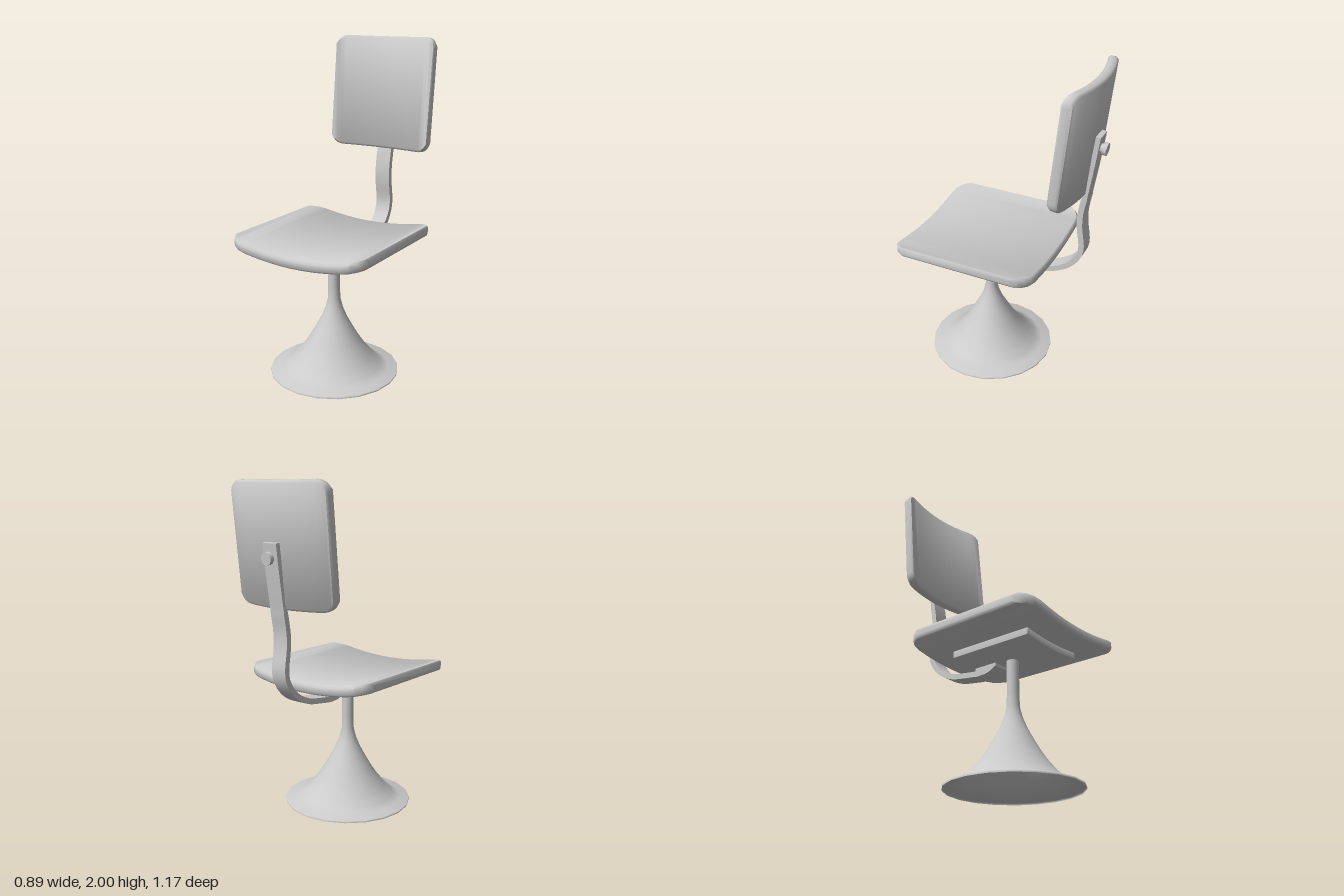
import * as THREE from 'three';
import { toCreasedNormals } from 'three/addons/utils/BufferGeometryUtils.js';

const material = new THREE.MeshStandardMaterial({ color: 0xcccccc, side: THREE.DoubleSide });

function addMesh(group, name, geometry) {
  const mesh = new THREE.Mesh(geometry, material);
  mesh.name = name;
  group.add(mesh);
  return mesh;
}

// Rounded rectangular board in XZ, thick in Y, with its x ends bent upward by sag
function bentBoard(halfW, halfL, thick, radius, bevel, sag) {
  const steps = 4, columns = [];
  for (let i = 0; i <= steps; i++) {
    const a = (Math.PI / 2) * (1 - i / steps);
    columns.push([-(halfW - radius + radius * Math.sin(a)), halfL - radius + radius * Math.cos(a), i === 0]);
  }
  const inner = halfW - radius;
  for (let i = 1; i < 12; i++) columns.push([-inner + (2 * inner * i) / 12, halfL, false]);
  for (let i = steps; i >= 0; i--) columns.push([-columns[i][0], columns[i][1], i === 0]);

  const positions = [], indices = [], n = 8;
  for (const [x, l, end] of columns) {
    const t = thick / 2 - (end ? bevel : 0), b = end ? bevel / 3 : bevel;
    const lift = sag * (x / halfW) ** 2;
    const ring = [[l, -t + b], [l, t - b], [l - b, t], [-l + b, t],
      [-l, t - b], [-l, -t + b], [-l + b, -t], [l - b, -t]];
    for (const [z, y] of ring) positions.push(x, y + lift, z);
  }
  for (let c = 0; c < columns.length - 1; c++) {
    for (let k = 0; k < n; k++) {
      const a = c * n + k, b = c * n + ((k + 1) % n);
      indices.push(a, a + n, b, b, a + n, b + n);
    }
  }
  const last = (columns.length - 1) * n;
  for (let k = 1; k < n - 1; k++) {
    indices.push(0, k, k + 1, last, last + k + 1, last + k);
  }
  const geometry = new THREE.BufferGeometry();
  geometry.setAttribute('position', new THREE.Float32BufferAttribute(positions, 3));
  geometry.setIndex(indices);
  return toCreasedNormals(geometry, 0.9);
}

// Side profile given as (z, y) points, extruded across x
function sideExtrude(points, width) {
  const geometry = new THREE.ExtrudeGeometry(new THREE.Shape(points), { depth: width, bevelEnabled: false });
  geometry.rotateY(-Math.PI / 2).translate(width / 2, 0, 0);
  return toCreasedNormals(geometry, 0.6);
}

const toVectors = (list) => list.map(([x, y]) => new THREE.Vector2(x, y));

export function createModel() {
  const model = new THREE.Group();
  model.name = 'chair';

  // Hollow trumpet pedestal with a thin rim
  const profile = toVectors([[0.395, 0], [0.395, 0.012], [0.335, 0.02], [0.29, 0.045], [0.24, 0.095],
    [0.195, 0.15], [0.155, 0.21], [0.115, 0.28], [0.08, 0.345], [0.053, 0.41], [0.038, 0.47],
    [0.036, 0.55], [0.036, 0.76]]);
  addMesh(model, 'pedestal', new THREE.LatheGeometry(profile, 20)).position.z = 0.13;

  // Seat and the plate beneath it
  addMesh(model, 'seat', bentBoard(0.445, 0.446, 0.06, 0.11, 0.012, 0.055)).position.set(0, 0.82, 0.135);
  addMesh(model, 'seatPlate', bentBoard(0.23, 0.27, 0.045, 0.006, 0.002, 0.015)).position.set(0, 0.773, 0.14);

  // Bracket clamping the strap to the plate
  addMesh(model, 'strapBracket', sideExtrude(toVectors([[0.04, 0.76], [0.04, 0.732], [0, 0.71],
    [-0.04, 0.699], [-0.11, 0.697], [-0.11, 0.76]]), 0.1));

  // Bent flat strap carrying the backrest
  const path = new THREE.SplineCurve(toVectors([[-0.08, 0.713], [-0.18, 0.725], [-0.3, 0.747],
    [-0.4, 0.8], [-0.465, 0.88], [-0.482, 0.96], [-0.466, 1.08], [-0.467, 1.18],
    [-0.492, 1.32], [-0.52, 1.5], [-0.543, 1.67]]));
  const outer = [], inner = [];
  for (let i = 0; i <= 40; i++) {
    const p = path.getPointAt(i / 40), t = path.getTangentAt(i / 40);
    const side = new THREE.Vector2(-t.y, t.x).multiplyScalar(i < 28 ? 0.017 : 0.014);
    outer.push(p.clone().add(side));
    inner.unshift(p.clone().sub(side));
  }
  addMesh(model, 'backStrap', sideExtrude([...outer, ...inner], 0.1));

  // Curved backrest, leaning back
  const lean = 0.105;
  const back = addMesh(model, 'backrest', bentBoard(0.347, 0.349, 0.06, 0.07, 0.014, 0.06));
  back.rotation.x = Math.PI / 2 - lean;
  back.position.set(0, 1.65, -0.495);

  // Bolt through the strap, with a wider head
  const bolt = new THREE.Group();
  bolt.name = 'backBolt';
  addMesh(bolt, 'boltShank', new THREE.CylinderGeometry(0.026, 0.026, 0.06, 16));
  addMesh(bolt, 'boltHead', new THREE.CylinderGeometry(0.036, 0.036, 0.024, 16)).position.y = -0.026;
  bolt.rotation.x = Math.PI / 2 - lean;
  bolt.position.set(0, 1.59, -0.546);
  model.add(bolt);

  return model;
}
